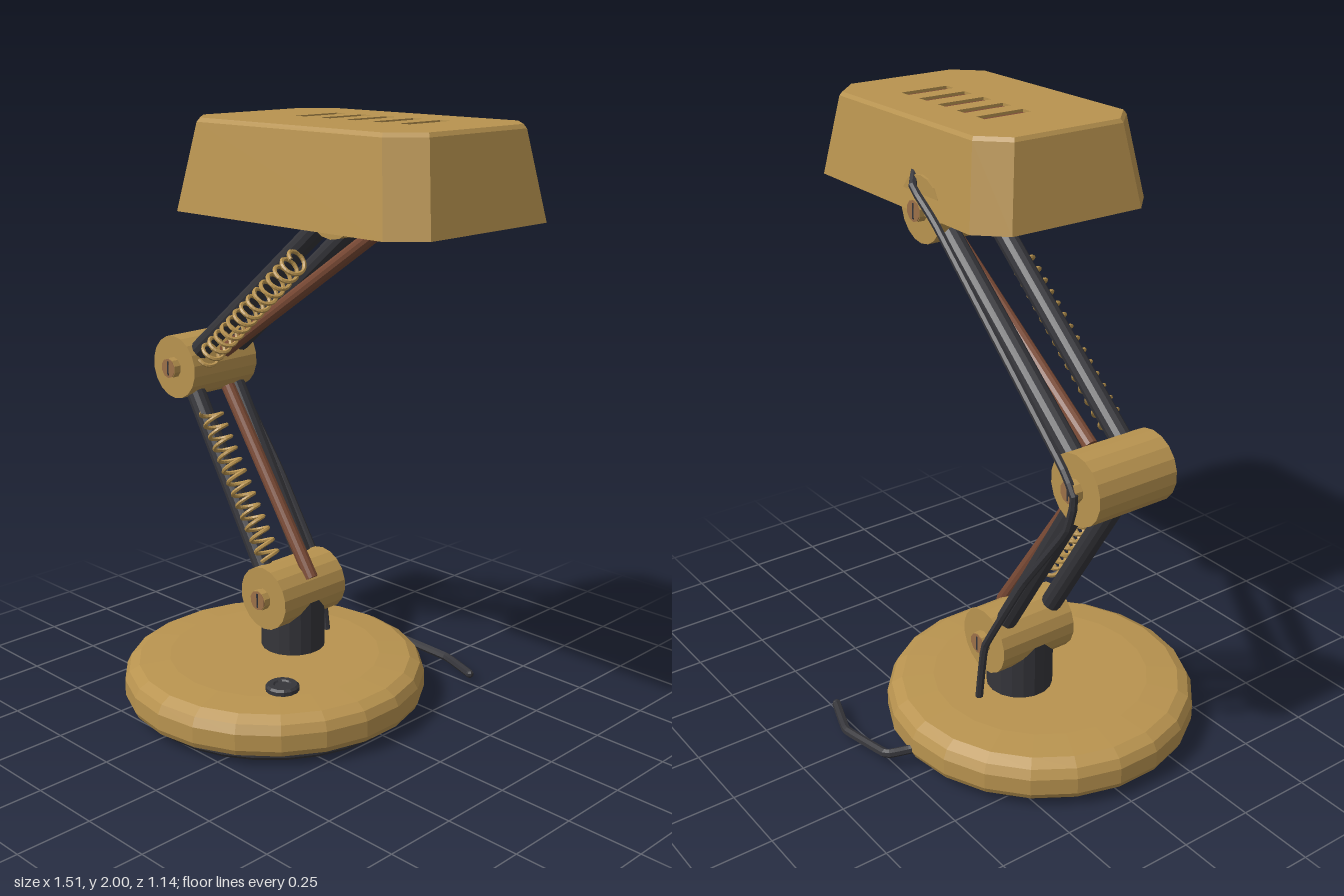
import * as THREE from 'three';

const V = (x, y, z) => new THREE.Vector3(x, y, z);
const paint = (color, extra = {}) => new THREE.MeshStandardMaterial({ color, flatShading: true, ...extra });
const brass = paint(0xb8934f);
const black = paint(0x35353a);
const copper = paint(0x7a4a35);
const bronze = paint(0x9c7048);
const white = paint(0xe8e4da);
const glass = paint(0xc4c4c4);

function add(parent, name, geometry, material, x = 0, y = 0, z = 0) {
  const mesh = new THREE.Mesh(geometry, material);
  mesh.name = name;
  mesh.position.set(x, y, z);
  parent.add(mesh);
  return mesh;
}

// Straight round bar between two points
function bar(parent, name, a, b, r, material, sides = 12) {
  const dir = b.clone().sub(a);
  const mesh = add(parent, name, new THREE.CylinderGeometry(r, r, dir.length(), sides), material);
  mesh.position.copy(a).add(b).multiplyScalar(0.5);
  mesh.quaternion.setFromUnitVectors(V(0, 1, 0), dir.normalize());
  return mesh;
}

// Coil spring between two points that share the same z
function spring(parent, name, a, b, r, turns) {
  const dir = b.clone().sub(a);
  const u = V(0, 0, 1);
  const v = dir.clone().normalize().cross(u);
  const pts = [];
  const n = turns * 10;
  for (let i = 0; i <= n; i++) {
    const t = (i / 10) * Math.PI * 2;
    pts.push(a.clone().addScaledVector(dir, i / n)
      .addScaledVector(u, r * Math.cos(t)).addScaledVector(v, r * Math.sin(t)));
  }
  add(parent, name, new THREE.TubeGeometry(new THREE.CatmullRomCurve3(pts), n * 2, 0.007, 6), brass);
}

// Cable with slightly softened corners and closed ends
function cable(parent, name, pts, r) {
  const curve = new THREE.CatmullRomCurve3(pts, false, 'catmullrom', 0.1);
  add(parent, name, new THREE.TubeGeometry(curve, pts.length * 6, r, 7), black);
  for (const p of [pts[0], pts[pts.length - 1]]) {
    add(parent, name + 'End', new THREE.SphereGeometry(r, 7, 5), black, p.x, p.y, p.z);
  }
}

// Pivot barrel along z with a slotted bolt on each end
function pivot(parent, name, x, y, r) {
  const hub = new THREE.Group();
  hub.name = name;
  hub.position.set(x, y, -0.038);
  const along = (n, g, m, z) => { add(hub, n, g, m, 0, 0, z).rotation.x = Math.PI / 2; };
  along('barrel', new THREE.CylinderGeometry(r, r, 0.284, 18), brass, 0);
  for (const s of [-1, 1]) {
    along('bolt', new THREE.CylinderGeometry(0.036, 0.036, 0.026, 10), brass, s * 0.154);
    along('boltFace', new THREE.CylinderGeometry(0.034, 0.034, 0.003, 10), bronze, s * 0.168);
    add(hub, 'boltSlot', new THREE.BoxGeometry(0.007, 0.05, 0.003), black, 0, 0, s * 0.169);
  }
  parent.add(hub);
}

// Rectangle outline with cut corners, in x and z
function cutRect(hx, hz, c) {
  return [[hx, -hz + c], [hx, hz - c], [hx - c, hz], [-hx + c, hz],
    [-hx, hz - c], [-hx, -hz + c], [-hx + c, -hz], [hx - c, -hz]];
}

// Skin over a stack of cut rectangles: [halfX, halfZ, cut, y]
function loft(rings) {
  const loops = rings.map(([hx, hz, c, y]) => cutRect(hx, hz, c).map(([x, z]) => [x, y, z]));
  const pos = [];
  for (let k = 0; k + 1 < loops.length; k++) {
    for (let i = 0; i < 8; i++) {
      const j = (i + 1) % 8;
      const [a, b, c, d] = [loops[k][i], loops[k][j], loops[k + 1][j], loops[k + 1][i]];
      pos.push(...a, ...d, ...c, ...a, ...c, ...b);
    }
  }
  const g = new THREE.BufferGeometry();
  g.setAttribute('position', new THREE.Float32BufferAttribute(pos, 3));
  g.computeVertexNormals();
  return g;
}

const lathe = (pts, sides) => new THREE.LatheGeometry(pts.map(([x, y]) => new THREE.Vector2(x, y)), sides);

function buildBase(root) {
  const base = new THREE.Group();
  base.name = 'base';
  base.position.set(-0.21, 0, 0.053);
  add(base, 'foot', lathe([[0, 0.012], [0.46, 0.025], [0.505, 0.04], [0.515, 0.06], [0.515, 0.115],
    [0.5, 0.145], [0.465, 0.165], [0.36, 0.175], [0, 0.175]], 22), brass);
  add(base, 'rubberRing', lathe([[0.42, 0.02], [0.425, 0], [0.455, 0], [0.465, 0.012], [0.465, 0.035]], 28), black);
  root.add(base);

  add(root, 'post', new THREE.CylinderGeometry(0.11, 0.11, 0.19, 18), black, -0.21, 0.265, -0.035);
  add(root, 'switch', lathe([[0.056, 0.165], [0.056, 0.188], [0.048, 0.195], [0.03, 0.195], [0.026, 0.19], [0, 0.19]], 14),
    black, 0.03, 0, 0.243);
  cable(root, 'powerCable', [V(-0.21, 0.07, -0.42), V(-0.185, 0.06, -0.465), V(-0.155, 0.055, -0.53),
    V(0.05, 0.035, -0.555), V(0.2, 0.035, -0.505)], 0.015);
}

function buildArms(root) {
  const foot = [-0.21, 0.38], elbow = [-0.65, 1.11], head = [0.11, 1.74];
  pivot(root, 'lowerPivot', ...foot, 0.11);
  pivot(root, 'elbowPivot', ...elbow, 0.11);
  pivot(root, 'headPivot', ...head, 0.106);
  for (const z of [0.053, -0.128]) {
    bar(root, 'lowerArm', V(...foot, z), V(...elbow, z), 0.034, black);
    bar(root, 'upperArm', V(...elbow, z), V(...head, z), 0.034, black);
  }
  bar(root, 'lowerRod', V(-0.12, 0.44, -0.036), V(-0.53, 1.04, -0.036), 0.024, copper);
  bar(root, 'upperRod', V(0.21, 1.675, -0.036), V(-0.54, 1.165, -0.036), 0.024, copper);
  spring(root, 'lowerSpring', V(-0.18, 0.53, 0.1), V(-0.47, 0.99, 0.1), 0.035, 13);
  spring(root, 'upperSpring', V(-0.48, 1.17, 0.1), V(-0.03, 1.56, 0.1), 0.035, 14);
  cable(root, 'armCable', [V(0.18, 1.85, -0.15), V(0.12, 1.81, -0.2), V(0, 1.725, -0.2),
    V(-0.62, 1.18, -0.205), V(-0.68, 1.1, -0.205), V(-0.64, 0.98, -0.2), V(-0.44, 0.71, -0.2),
    V(-0.26, 0.4, -0.212), V(-0.21, 0.165, -0.2)], 0.013);
}

function buildShade(root) {
  const shade = new THREE.Group();
  shade.name = 'shade';
  shade.position.set(0.255, 0, 0.142);
  // Outer walls with the bottom rim and a small top bevel
  add(shade, 'shell', loft([[0.478, 0.31, 0.08, 1.73], [0.5, 0.332, 0.088, 1.73],
    [0.452, 0.288, 0.086, 1.988], [0.444, 0.28, 0.084, 2]]), brass);
  add(shade, 'lining', loft([[0, 0, 0, 1.95], [0.436, 0.272, 0.08, 1.95], [0.478, 0.31, 0.08, 1.73]]), white);

  // Top plate with vent slots
  const outline = (pts, T) => new T(pts.map(([x, z]) => new THREE.Vector2(x, z)));
  const top = outline(cutRect(0.444, 0.28, 0.084), THREE.Shape);
  for (let i = 0; i < 5; i++) {
    const x = -0.195 + i * 0.1025;
    top.holes.push(outline([[x - 0.021, -0.136], [x - 0.021, 0.038], [x + 0.021, 0.038], [x + 0.021, -0.136]], THREE.Path));
  }
  const plate = new THREE.ExtrudeGeometry(top, { depth: 0.015, bevelEnabled: false });
  add(shade, 'topPlate', plate.rotateX(Math.PI / 2), brass, 0, 2, 0);
  add(shade, 'ventBacking', new THREE.BoxGeometry(0.5, 0.008, 0.2), copper, 0.01, 1.987, -0.049);

  // Socket and twin tube lamp
  bar(shade, 'socket', V(-0.19, 1.83, 0), V(-0.09, 1.83, 0), 0.065, copper, 14);
  for (const z of [-0.035, 0.035]) bar(shade, 'lampTube', V(-0.1, 1.83, z), V(0.37, 1.83, z), 0.028, glass, 12);
  bar(shade, 'lampBridge', V(0.35, 1.83, -0.035), V(0.35, 1.83, 0.035), 0.02, glass, 8);
  root.add(shade);
}

export function createModel() {
  const root = new THREE.Group();
  root.name = 'deskLamp';
  buildBase(root);
  buildArms(root);
  buildShade(root);
  return root;
}
